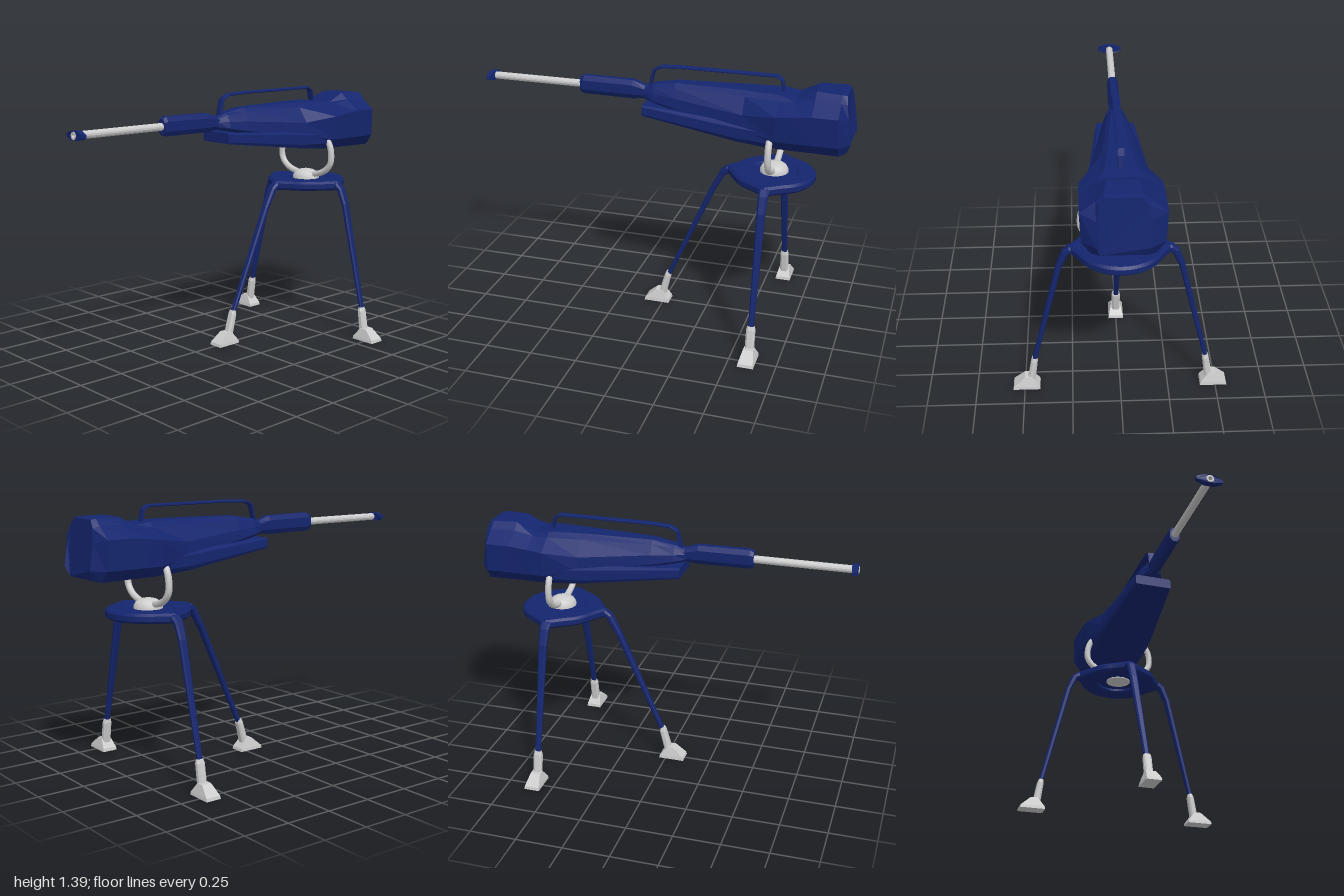
import * as THREE from 'three';

const blue = new THREE.MeshStandardMaterial({ color: 0x14256e, flatShading: true });
const grey = new THREE.MeshStandardMaterial({ color: 0xcccccc, flatShading: true });
const smoothGrey = new THREE.MeshStandardMaterial({ color: 0xcccccc });
const PIVOT_Z = -0.6, BORE_Y = 1.243;

function add(parent, name, geometry, material) {
  const mesh = new THREE.Mesh(geometry, material);
  mesh.name = name;
  parent.add(mesh);
  return mesh;
}

// Closed solid through rings of [x, y, z] points, all rings of equal length
function loft(rings) {
  const n = rings[0].length, last = (rings.length - 1) * n, index = [];
  for (let i = 0; i < rings.length - 1; i++) {
    for (let k = 0; k < n; k++) {
      const a = i * n + k, b = i * n + (k + 1) % n;
      index.push(a, a + n, b, b, a + n, b + n);
    }
  }
  for (let k = 1; k < n - 1; k++) {
    index.push(0, k, k + 1, last, last + k + 1, last + k);
  }
  const geometry = new THREE.BufferGeometry();
  geometry.setAttribute('position', new THREE.Float32BufferAttribute(rings.flat(2), 3));
  geometry.setIndex(index);
  const flat = geometry.toNonIndexed();
  flat.computeVertexNormals();
  return flat;
}

// Full ring from its +x half, listed bottom to top
const mirrored = half => [...half, ...half.map(([x, y, z]) => [-x, y, z]).reverse()];

// Section at one z; a third number on a point shifts it along z
const section = (z, half) => mirrored(half.map(([x, y, dz = 0]) => [x, y, z + dz]));

// Chamfered bar along a path of [z, y, half width, half thickness]
function bar(path) {
  return loft(path.map(([z, y, w, h], i) => {
    const p = path[Math.max(i - 1, 0)], q = path[Math.min(i + 1, path.length - 1)];
    const len = Math.hypot(q[0] - p[0], q[1] - p[1]);
    const nz = (q[1] - p[1]) / len, ny = -(q[0] - p[0]) / len;
    const half = [[w * 0.6, -h], [w, -h * 0.5], [w, h * 0.5], [w * 0.6, h]];
    return mirrored(half.map(([x, d]) => [x, y + ny * d, z + nz * d]));
  }));
}

// Leg running out along local +z from the pivot, with its foot
function makeLeg(name, angle, knee, end, ankle) {
  const leg = new THREE.Group();
  leg.name = name;
  leg.rotation.y = angle;
  leg.position.z = PIVOT_Z;
  add(leg, 'legStrut', bar([
    [0.19, 0.845, 0.03, 0.02], [0.25, 0.845, 0.027, 0.02], [0.272, 0.828, 0.025, 0.018],
    [...knee, 0.022, 0.015], [...end, 0.014, 0.011],
  ]), blue);
  add(leg, 'footSocket', bar([
    [end[0] - 0.003, 0.18, 0.018, 0.012], [end[0], 0.16, 0.023, 0.017], [ankle, 0.04, 0.023, 0.02],
  ]), grey);
  const footRing = (y, heel, toe, w) => mirrored([[w, y, ankle + heel], [w, y, ankle + toe]]);
  add(leg, 'foot', loft([
    footRing(0, -0.045, 0.096, 0.042),
    footRing(0.016, -0.042, 0.092, 0.04),
    footRing(0.067, -0.003, 0.035, 0.027),
  ]), grey);
  return leg;
}

// Round mounting plate flared towards the three legs
function makePlate() {
  const shape = new THREE.Shape();
  const points = [];
  for (let i = 0; i < 72; i++) {
    const a = i / 72 * Math.PI * 2;
    let r = 0.205;
    for (const dir of [0, Math.PI, Math.PI * 1.5]) {
      const d = Math.acos(Math.min(1, Math.max(-1, Math.cos(a - dir))));
      r += 0.04 * Math.max(0, 1 - d / 0.5) ** 2;
    }
    points.push(new THREE.Vector2(Math.cos(a) * r, Math.sin(a) * r));
  }
  shape.setFromPoints(points);
  const hole = new THREE.Path();
  hole.absarc(0, 0, 0.13, 0, Math.PI * 2, true);
  shape.holes.push(hole);
  const plate = new THREE.ExtrudeGeometry(shape, {
    depth: 0.026, bevelEnabled: true, bevelThickness: 0.012, bevelSize: 0.013, bevelSegments: 1, curveSegments: 20,
  });
  return plate.rotateX(-Math.PI / 2).translate(0, 0.833, PIVOT_Z);
}

export function createModel() {
  const model = new THREE.Group();
  model.name = 'tripodCannon';

  // Tripod
  const tripod = new THREE.Group();
  tripod.name = 'tripod';
  model.add(tripod);
  tripod.add(makeLeg('frontLeg', 0, [0.325, 0.73], [0.578, 0.155], 0.61));
  tripod.add(makeLeg('leftLeg', Math.PI / 2, [0.305, 0.75], [0.446, 0.165], 0.465));
  tripod.add(makeLeg('rightLeg', -Math.PI / 2, [0.305, 0.75], [0.446, 0.165], 0.465));
  add(tripod, 'mountingPlate', makePlate(), blue);
  add(tripod, 'plateCentre', new THREE.CylinderGeometry(0.14, 0.14, 0.02, 32), blue)
    .position.set(0, 0.855, PIVOT_Z);

  // Swivel and yoke
  add(tripod, 'pivotCap', new THREE.CylinderGeometry(0.07, 0.07, 0.02, 24), smoothGrey)
    .position.set(0, 0.85, PIVOT_Z);
  const dome = [[0.075, 0.862], [0.074, 0.88], [0.064, 0.898], [0.045, 0.911], [0.02, 0.917], [0, 0.918]];
  add(tripod, 'swivelDome', new THREE.LatheGeometry(dome.map(p => new THREE.Vector2(...p)), 24), smoothGrey)
    .position.z = PIVOT_Z;
  const arm = [[0.15, 1.11], [0.18, 1.07], [0.193, 1.02], [0.188, 0.965], [0.15, 0.922], [0.08, 0.895]];
  const yokePath = [...arm, [0, 0.888], ...arm.map(([x, y]) => [-x, y]).reverse()]
    .map(([x, y]) => new THREE.Vector3(x, y, PIVOT_Z));
  add(tripod, 'yoke', new THREE.TubeGeometry(new THREE.CatmullRomCurve3(yokePath), 48, 0.0175, 10), smoothGrey);

  // Gun body: narrow nose widening into the rear housing
  const gun = new THREE.Group();
  gun.name = 'gun';
  model.add(gun);
  add(gun, 'gunBody', loft([
    section(0.11, [[0.02, 1.2], [0.032, 1.215], [0.032, 1.24], [0.025, 1.257], [0.015, 1.262]]),
    section(0.05, [[0.04, 1.19], [0.062, 1.205], [0.056, 1.24], [0.04, 1.275], [0.025, 1.285]]),
    section(-0.07, [[0.07, 1.165], [0.085, 1.185], [0.078, 1.235], [0.05, 1.285], [0.03, 1.305]]),
    section(-0.45, [[0.13, 1.08], [0.15, 1.13], [0.142, 1.205], [0.085, 1.285], [0.055, 1.31]]),
    section(-0.63, [[0.15, 1.048], [0.19, 1.1], [0.198, 1.23], [0.105, 1.285], [0.075, 1.308]]),
    section(-0.71, [[0.15, 1.047], [0.192, 1.1], [0.2, 1.24], [0.11, 1.288], [0.073, 1.297]]),
    section(-0.81, [[0.15, 1.046], [0.193, 1.1], [0.2, 1.25], [0.115, 1.31], [0.075, 1.345]]),
    section(-0.94, [[0.15, 1.044, -0.01], [0.193, 1.1, -0.005], [0.2, 1.25], [0.125, 1.31], [0.09, 1.343]]),
    section(-0.98, [[0.11, 1.05, 0], [0.125, 1.1, -0.02], [0.125, 1.23, 0], [0.11, 1.3, 0.01], [0.08, 1.338, 0.017]]),
  ]), blue);

  // Lower tray projecting under the nose
  add(gun, 'lowerTray', loft([
    section(0.095, [[0.098, 1.13], [0.102, 1.14], [0.1, 1.178], [0.09, 1.185]]),
    section(-0.42, [[0.145, 1.064], [0.157, 1.085], [0.155, 1.14], [0.13, 1.16]]),
    section(-0.6, [[0.15, 1.048], [0.175, 1.08], [0.175, 1.13], [0.15, 1.15]]),
  ]), blue);

  // Barrel shroud
  const shroudRing = (z, y, w, h) => section(z,
    [[w * 0.5, y - h], [w, y - h * 0.5], [w, y + h * 0.5], [w * 0.5, y + h]]);
  add(gun, 'barrelShroud', loft([
    shroudRing(0.465, 1.243, 0.026, 0.04),
    shroudRing(0.445, 1.244, 0.029, 0.05),
    shroudRing(0.17, 1.242, 0.03, 0.05),
    shroudRing(0.1, 1.235, 0.033, 0.034),
    shroudRing(0.02, 1.235, 0.045, 0.04),
  ]), blue);

  // Barrel with an open bore
  const tube = [[0.011, 0.46], [0.011, 1.0], [0.02, 1.0], [0.02, 0.44]].map(p => new THREE.Vector2(...p)).reverse();
  add(gun, 'barrel', new THREE.LatheGeometry(tube, 14).rotateX(Math.PI / 2).translate(0, BORE_Y, 0), grey);

  // Winged muzzle brake
  const brake = new THREE.Shape([[0.068, -0.008], [0.068, 0.008], [0.025, 0.022], [-0.025, 0.022],
    [-0.068, 0.008], [-0.068, -0.008], [-0.025, -0.022], [0.025, -0.022]].map(p => new THREE.Vector2(...p)));
  const bore = new THREE.Path();
  bore.absarc(0, 0, 0.018, 0, Math.PI * 2, true);
  brake.holes.push(bore);
  const brakeGeometry = new THREE.ExtrudeGeometry(brake, { depth: 0.034, bevelEnabled: false, curveSegments: 7 });
  const pos = brakeGeometry.attributes.position;
  for (let i = 0; i < pos.count; i++) {
    if (Math.abs(pos.getX(i)) > 0.06) pos.setZ(i, 0.017 + (pos.getZ(i) - 0.017) * 0.6);
  }
  add(gun, 'muzzleBrake', brakeGeometry.translate(0, BORE_Y, 0.964), blue);

  // Carrying handle
  const handle = [[0.08, 1.255], [0.067, 1.31], [0.055, 1.357], [0.015, 1.377], [-0.1, 1.383],
    [-0.595, 1.383], [-0.623, 1.365], [-0.64, 1.28]];
  add(gun, 'carryHandle', bar(handle.map(([z, y]) => [z, y, 0.02, 0.007])), blue);

  return model;
}
